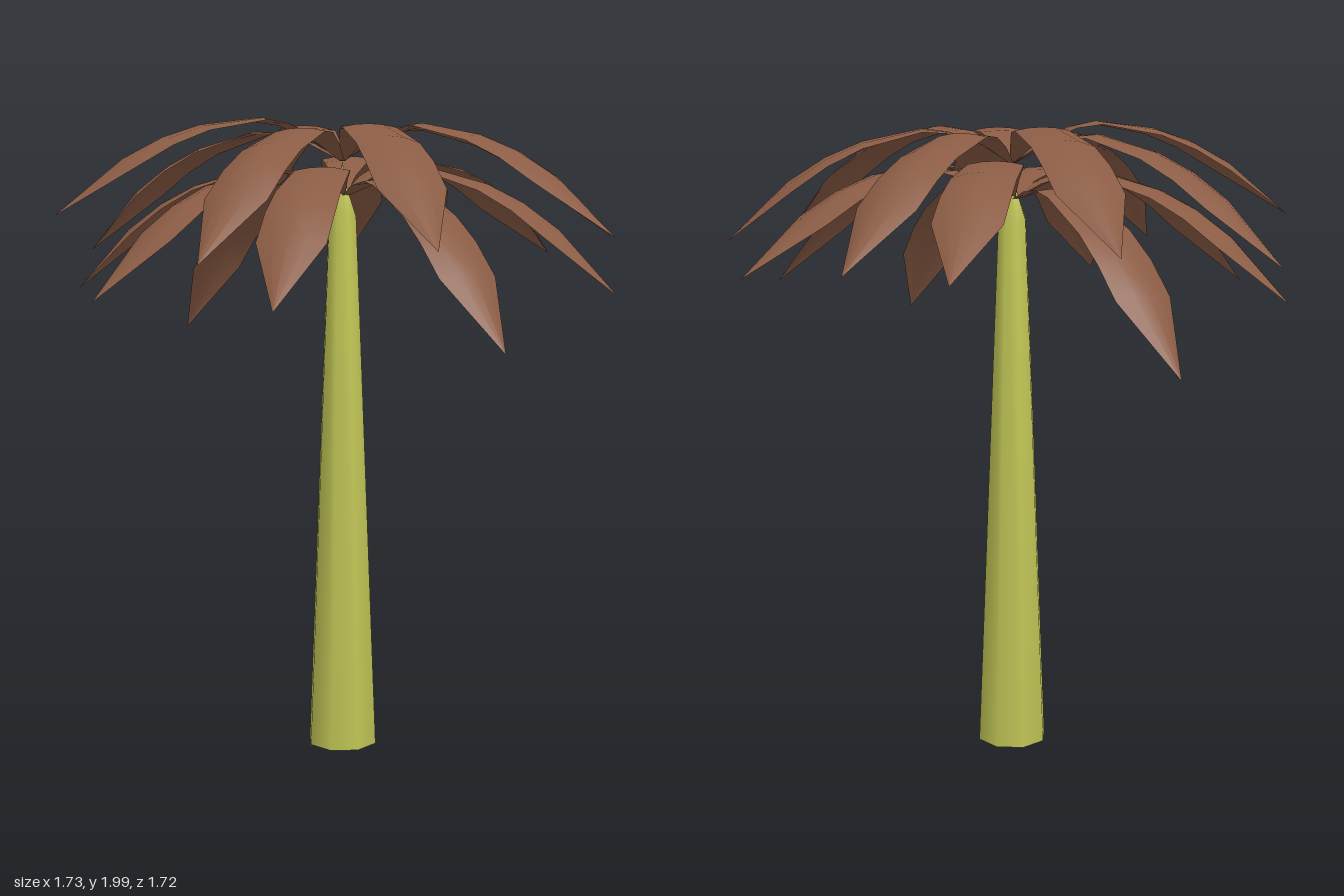
import * as THREE from 'three';

// Frond ridge as [distance from hub, height above hub, half width, side droop]
const RIDGE = [
  [0, 0, 0.008, 0], [0.1, 0.055, 0.038, 0.002], [0.2, 0.085, 0.068, 0.005], [0.28, 0.09, 0.083, 0.01],
  [0.46, 0.04, 0.095, 0.02], [0.57, -0.015, 0.1, 0.027], [0.68, -0.095, 0.1, 0.032], [0.86, -0.29, 0.001, 0],
];
const TIP_ANGLE = Math.atan2(-0.29, 0.86);

// Frond tips of each tier: x, height, z
const TIERS = [
  { name: 'upperFronds', hub: 1.86, tips: [
    [0.86, 1.64, 0.12], [0.50, 1.62, 0.70], [-0.11, 1.58, 0.85], [-0.69, 1.70, 0.54],
    [-0.86, 1.58, 0.01], [-0.61, 1.66, -0.62], [0.08, 1.60, -0.86], [0.75, 1.63, -0.42]] },
  { name: 'lowerFronds', hub: 1.75, tips: [
    [0.86, 1.46, -0.01], [0.64, 1.33, 0.49], [0.10, 1.46, 0.85], [-0.51, 1.46, 0.69],
    [-0.85, 1.46, 0.13], [-0.70, 1.30, -0.37], [-0.24, 1.59, -0.86], [0.49, 1.56, -0.73]] },
];

// Arched frond: curved cross-sections swept along the ridge
function frondGeometry() {
  const across = [-1, -0.5, 0, 0.5, 1];
  const n = across.length, last = RIDGE.length - 1;
  const pos = [], index = [];
  RIDGE.forEach(([r, y, width, droop], i) => {
    const a = RIDGE[Math.max(i - 1, 0)], b = RIDGE[Math.min(i + 1, last)];
    const len = Math.hypot(b[0] - a[0], b[1] - a[1]);
    const dr = (b[0] - a[0]) / len, dy = (b[1] - a[1]) / len;
    for (const s of across) {
      const drop = droop * s * s;
      pos.push(r + dy * drop, y - dr * drop, s * width);
    }
    if (i === last) return;
    for (let j = 0; j < n - 1; j++) {
      const p = i * n + j, q = p + n;
      index.push(p, p + 1, q, p + 1, q + 1, q);
    }
  });
  const g = new THREE.BufferGeometry();
  g.setAttribute('position', new THREE.Float32BufferAttribute(pos, 3));
  g.setIndex(index);
  g.computeVertexNormals();
  return g;
}

export function createModel() {
  const group = new THREE.Group();
  const bark = new THREE.MeshStandardMaterial({ name: 'yellow green bark', color: 0xc2c756 });
  const leaf = new THREE.MeshStandardMaterial({ name: 'brown leaf', color: 0x8b5c45, side: THREE.DoubleSide });

  // Tapered trunk with a slim tip, softly shaded into its base
  const profile = [[0, 0], [0.113, 0], [0.045, 1.69], [0.015, 1.78], [0, 1.86]];
  const trunk = new THREE.Mesh(
    new THREE.LatheGeometry(profile.map(([x, y]) => new THREE.Vector2(x, y)), 8), bark);
  trunk.name = 'trunk';
  group.add(trunk);

  // Two tiers of one frond shape, each turned and tilted to reach its tip
  const frondGeo = frondGeometry();
  for (const { name, hub, tips } of TIERS) {
    const tier = new THREE.Group();
    tier.name = name;
    tier.position.y = hub;
    tips.forEach(([x, y, z], i) => {
      const frond = new THREE.Mesh(frondGeo, leaf);
      frond.name = `frond${i + 1}`;
      frond.rotation.order = 'YXZ';
      frond.rotation.y = -Math.atan2(z, x);
      frond.rotation.z = Math.atan2(y - hub, Math.hypot(x, z)) - TIP_ANGLE;
      tier.add(frond);
    });
    group.add(tier);
  }
  return group;
}
